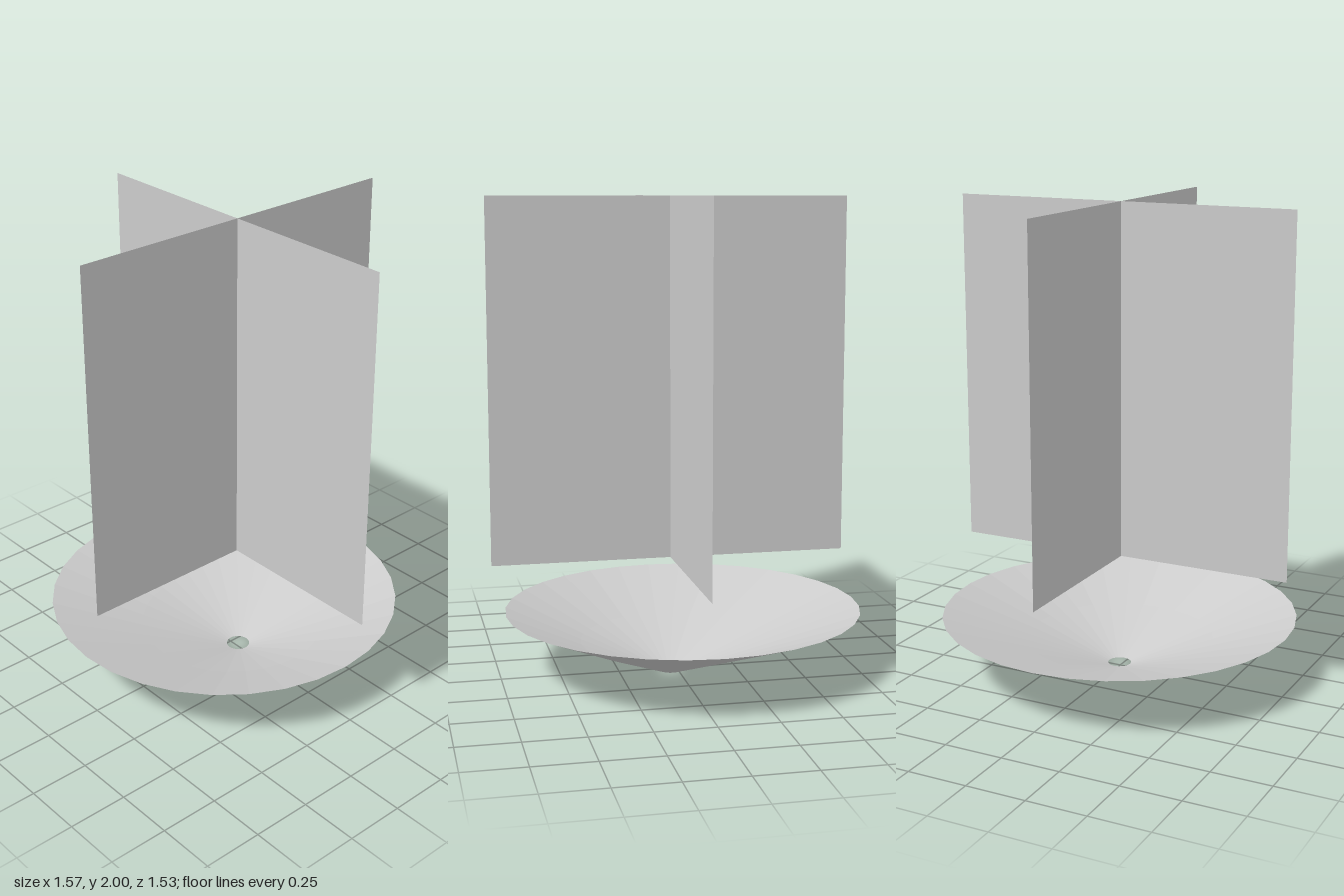
import * as THREE from 'three';

const material = new THREE.MeshStandardMaterial({
  color: 0xcccccc, side: THREE.DoubleSide, flatShading: true,
});

// Shallow open dish with a drain hole; its axis leans so the hole sits off centre
function createDish() {
  const height = 0.265;
  const profile = [[0.05, 0], [0.4, 0.13], [0.755, height]];
  const geometry = new THREE.LatheGeometry(profile.map(([r, y]) => new THREE.Vector2(r, y)), 32);
  const pos = geometry.attributes.position;
  for (let i = 0; i < pos.count; i++) {
    const t = pos.getY(i) / height;
    pos.setX(i, pos.getX(i) + 0.03 - 0.06 * Math.pow(t, 1.5));
    pos.setZ(i, pos.getZ(i) - 0.018 + 0.03 * t);
  }
  geometry.computeVertexNormals();
  const dish = new THREE.Mesh(geometry, material);
  dish.name = 'dish';
  return dish;
}

// Two thin square panels crossing at right angles
function createVanes() {
  const size = 1.51;
  const vanes = new THREE.Group();
  vanes.name = 'crossedVanes';
  ['vaneAcross', 'vaneFrontToBack'].forEach((name, i) => {
    const vane = new THREE.Mesh(new THREE.PlaneGeometry(size, size), material);
    vane.name = name;
    vane.rotation.y = i * Math.PI / 2;
    vanes.add(vane);
  });
  vanes.position.set(0.028, 2 - size / 2, -0.01);
  return vanes;
}

export function createModel() {
  const model = new THREE.Group();
  model.name = 'crossedVanesOverDish';
  model.add(createDish(), createVanes());
  return model;
}
